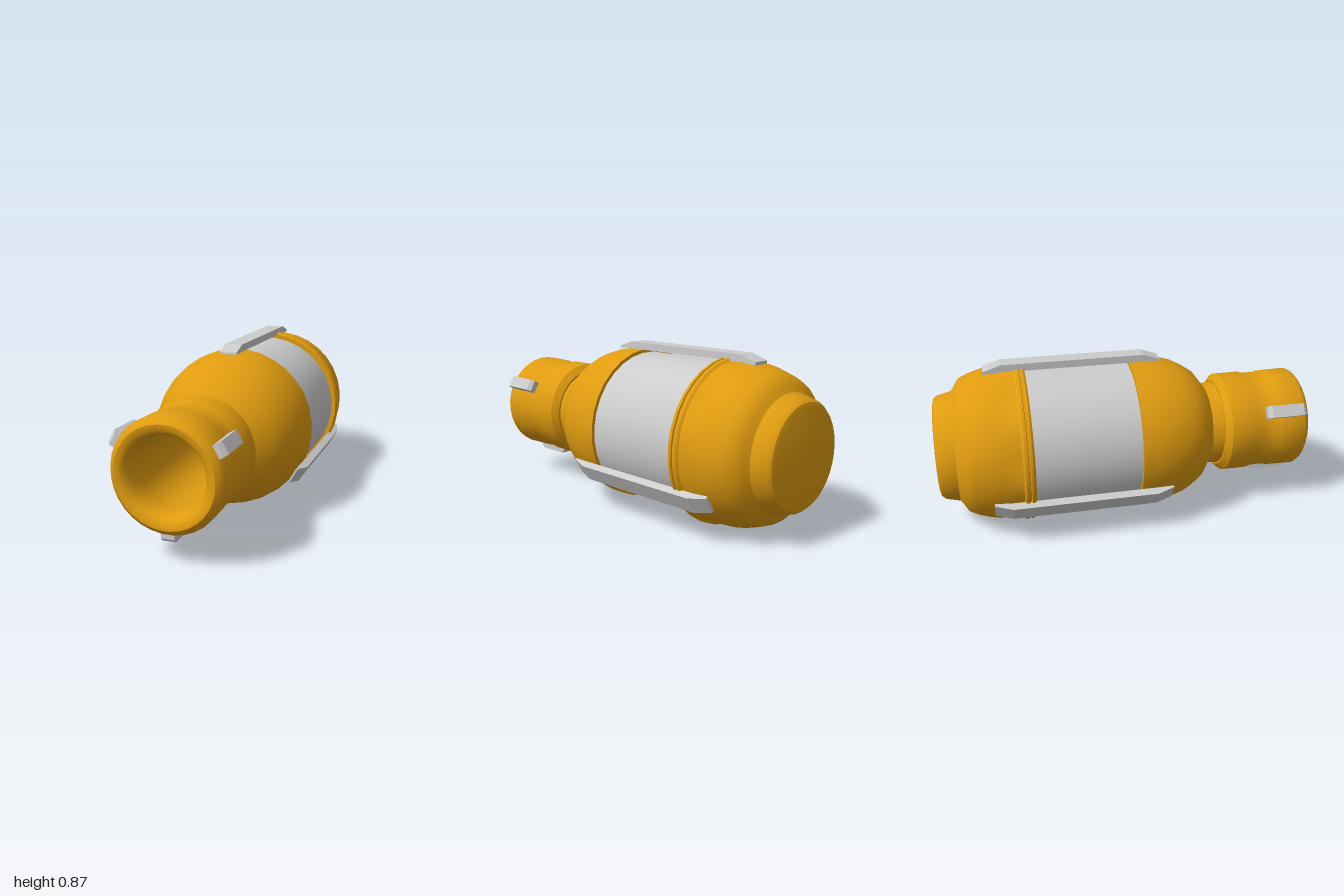
import * as THREE from 'three';
import { toCreasedNormals } from 'three/addons/utils/BufferGeometryUtils.js';

const SIDES = 32;
const AXIS_HEIGHT = 0.425;
const orange = new THREE.MeshStandardMaterial({ color: 0xe09c10 });
const grey = new THREE.MeshStandardMaterial({ color: 0xcccccc });

// Solid of revolution about z from [radius, z] pairs, running back to front on the outside
function turned(name, profile, material) {
  const points = profile.map(([r, z]) => new THREE.Vector2(r, z));
  const lathe = new THREE.LatheGeometry(points, SIDES, Math.PI / SIDES);
  lathe.rotateX(Math.PI / 2);
  const mesh = new THREE.Mesh(toCreasedNormals(lathe, 0.6), material);
  mesh.name = name;
  return mesh;
}

// Straight strip along z, given by a [z, radius] side outline, turned to an angle about the axis
function strip(name, outline, width, degrees) {
  const shape = new THREE.Shape(outline.map(([z, r]) => new THREE.Vector2(z, r)));
  const geometry = new THREE.ExtrudeGeometry(shape, { depth: width, bevelEnabled: false });
  geometry.translate(0, 0, -width / 2);
  geometry.rotateY(-Math.PI / 2);
  const mesh = new THREE.Mesh(geometry, grey);
  mesh.name = name;
  mesh.rotation.z = THREE.MathUtils.degToRad(degrees - 90);
  return mesh;
}

export function createModel() {
  const model = new THREE.Group();
  model.name = 'capsule';
  const body = new THREE.Group();
  body.name = 'body';
  body.position.y = AXIS_HEIGHT;
  model.add(body);

  // Rear cap with its rounded nose and double flange
  body.add(turned('rearCap', [
    [0, -1], [0.235, -1], [0.26, -0.993], [0.275, -0.975], [0.293, -0.9], [0.315, -0.885],
    [0.355, -0.86], [0.378, -0.81], [0.397, -0.75], [0.407, -0.7], [0.415, -0.58],
    [0.422, -0.575], [0.427, -0.568], [0.427, -0.553], [0.416, -0.55], [0.416, -0.545],
    [0.427, -0.542], [0.427, -0.53], [0.42, -0.52], [0.39, -0.52],
  ], orange));

  // Grey drum, whose front face closes the bore
  body.add(turned('drum', [[0, -0.53], [0.396, -0.53], [0.396, 0.032], [0, 0.032]], grey));

  // Front dome, neck, collar, rounded lip and bore in one skin
  body.add(turned('frontDomeAndCollar', [
    [0.39, 0.03], [0.414, 0.03], [0.412, 0.12], [0.4, 0.2], [0.373, 0.29], [0.345, 0.345],
    [0.307, 0.4], [0.232, 0.455], [0.225, 0.46], [0.23, 0.525], [0.24, 0.525],
    [0.274, 0.555], [0.274, 0.69], [0.265, 0.71], [0.265, 0.8], [0.272, 0.82],
    [0.275, 0.965], [0.263, 0.985], [0.243, 1], [0.22, 0.998], [0.2, 0.985],
    [0.186, 0.96], [0.18, 0.925], [0.18, 0.9], [0.186, 0.9], [0.186, 0.035],
  ], orange));

  // Three long rails with tapered ends
  const rail = [[0.2, 0.41], [0.2, 0.42], [0.11, 0.45], [-0.64, 0.45],
    [-0.73, 0.42], [-0.73, 0.405], [-0.64, 0.412], [0.11, 0.412]];
  for (const angle of [90, 210, 330]) body.add(strip('rail', rail, 0.094, angle));

  // Three short clips on the collar
  const clip = [[0.97, 0.262], [0.97, 0.295], [0.95, 0.312], [0.77, 0.312],
    [0.75, 0.295], [0.75, 0.262]];
  for (const angle of [30, 150, 270]) body.add(strip('collarClip', clip, 0.066, angle));

  return model;
}
